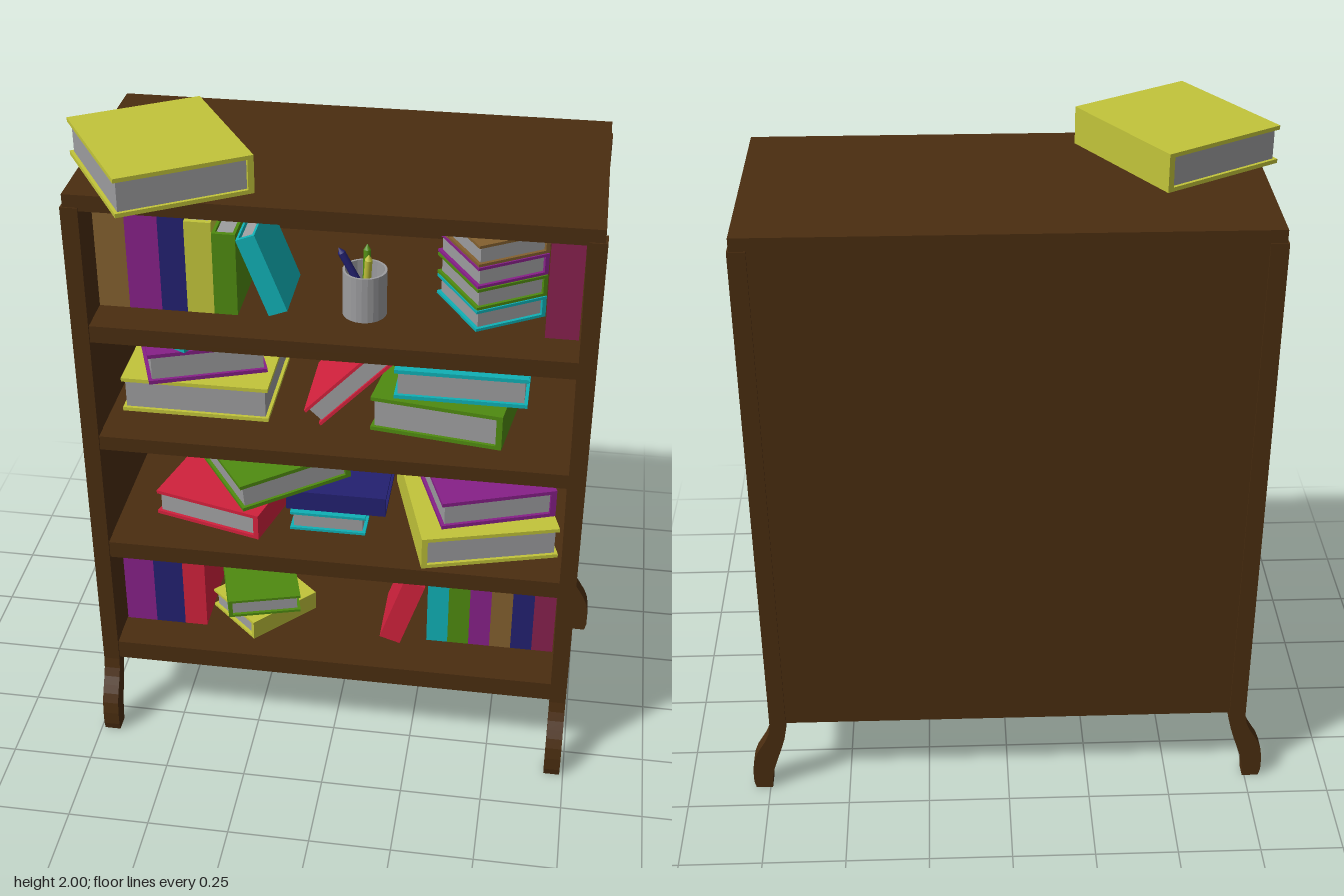
import * as THREE from 'three';

const paint = (name, color) => {
  const m = new THREE.MeshStandardMaterial({ color });
  m.name = name;
  return m;
};

export function createModel() {
  const model = new THREE.Group();
  model.name = 'bookcase';
  const wood = paint('darkWood', 0x4a2d10);
  const brown = paint('brown', 0x83602f);
  const purple = paint('purple', 0x872088);
  const navy = paint('navy', 0x232070);
  const yellow = paint('yellow', 0xc2c43a);
  const green = paint('green', 0x4f8a10);
  const cyan = paint('cyan', 0x10b0b5);
  const red = paint('red', 0xd0213c);
  const maroon = paint('maroon', 0x86204e);
  const grey = paint('paperGrey', 0x9c9c9e);

  // Box given by its lower and upper limits
  const box = (parent, name, mat, x0, x1, y0, y1, z0, z1) => {
    const mesh = new THREE.Mesh(new THREE.BoxGeometry(x1 - x0, y1 - y0, z1 - z0), mat);
    mesh.position.set((x0 + x1) / 2, (y0 + y1) / 2, (z0 + z1) / 2);
    mesh.name = name;
    parent.add(mesh);
    return mesh;
  };

  // Carcass
  box(model, 'topBoard', wood, -0.732, 0.732, 1.84, 1.888, -0.416, 0.296);
  box(model, 'backPanel', wood, -0.73, 0.73, 0.255, 1.84, -0.414, -0.39);
  for (const s of [-1, 1]) {
    const inner = s * 0.69, outer = s * 0.732;
    box(model, 'sidePanel', wood, Math.min(inner, outer), Math.max(inner, outer), 0.25, 1.84, -0.41, 0.29);
  }
  for (const [y0, y1] of [[0.255, 0.318], [0.66, 0.716], [1.06, 1.106], [1.427, 1.48]])
    box(model, 'shelf', wood, -0.69, 0.69, y0, y1, -0.39, 0.294);

  // Corner posts ending in a curved foot; the profile is (outward, height)
  const legShape = new THREE.Shape();
  legShape.moveTo(0, 1.85);
  legShape.lineTo(0, 0.25);
  legShape.bezierCurveTo(0.003, 0.17, 0.06, 0.16, 0.063, 0.07);
  legShape.lineTo(0.063, 0.025);
  legShape.lineTo(0.057, 0);
  legShape.lineTo(0.006, 0);
  legShape.bezierCurveTo(0.01, 0.08, -0.04, 0.15, -0.05, 0.235);
  legShape.lineTo(-0.05, 1.85);
  const legGeo = new THREE.ExtrudeGeometry(legShape, { depth: 0.05, bevelEnabled: false, curveSegments: 6 });
  legGeo.translate(0, 0, -0.025);
  for (const s of [-1, 1]) {
    const front = new THREE.Mesh(legGeo, wood);
    front.name = 'frontLeg';
    front.rotation.y = -Math.PI / 2;
    front.position.set(s * 0.714, 0, 0.3);
    const back = new THREE.Mesh(legGeo, wood);
    back.name = 'backLeg';
    back.rotation.y = s > 0 ? 0 : Math.PI;
    back.position.set(s * 0.737, 0, -0.395);
    model.add(front, back);
  }

  // A book lying flat: spine on +x, spine length along z, thickness along y
  const makeBook = (cover, W, L, t) => {
    const book = new THREE.Group();
    book.name = 'book';
    const c = Math.min(0.012, t * 0.13), w = W / 2, l = L / 2, h = t / 2;
    box(book, 'lowerCover', cover, -w, w, -h, -h + c, -l, l);
    box(book, 'upperCover', cover, -w, w, h - c, h, -l, l);
    box(book, 'spine', cover, w - c * 1.5, w, -h + c, h - c, -l, l);
    box(book, 'pages', grey, -w + 0.01, w - c * 1.5, -h + c, h - c, -l + 0.01, l - 0.01);
    model.add(book);
    return book;
  };

  // Lying book: turn about y, then lean about z (degrees)
  const rad = THREE.MathUtils.degToRad;
  const zAxis = new THREE.Vector3(0, 0, 1), yAxis = new THREE.Vector3(0, 1, 0);
  const lying = (cover, x, y0, y1, z, W, L, turn, lean = 0) => {
    const book = makeBook(cover, W, L, y1 - y0);
    book.position.set(x, (y0 + y1) / 2, z);
    book.quaternion.setFromAxisAngle(zAxis, rad(lean))
      .multiply(new THREE.Quaternion().setFromAxisAngle(yAxis, rad(turn)));
  };

  // Upright book with its spine to the front
  const standBasis = new THREE.Quaternion().setFromRotationMatrix(new THREE.Matrix4().makeBasis(
    zAxis, new THREE.Vector3(1, 0, 0), yAxis));
  const upright = (cover, x, y, t, height, lean = 0, front = 0.17) => {
    const depth = height * 0.89;
    const book = makeBook(cover, depth, height, t);
    book.position.set(x, y, front - depth / 2);
    book.quaternion.setFromAxisAngle(zAxis, rad(lean)).multiply(standBasis);
  };
  const row = (x, y, front, items) => {
    for (const [cover, t, height] of items) {
      upright(cover, x + t / 2, y + height / 2, t, height, 0, front);
      x += t;
    }
  };

  // Book on top
  lying(yellow, -0.497, 1.888, 2, 0.127, 0.392, 0.44, 31.5);

  // Top shelf
  row(-0.69, 1.48, 0.17, [[brown, 0.09, 0.355], [purple, 0.095, 0.355], [navy, 0.075, 0.334],
    [yellow, 0.078, 0.287], [green, 0.068, 0.255]]);
  upright(cyan, -0.212, 1.611, 0.058, 0.25, 21);
  [cyan, green, purple, brown].forEach((c, i) =>
    lying(c, 0.425, 1.48 + i * 0.068, 1.545 + i * 0.068, 0, 0.223, 0.25, 32));
  row(0.59, 1.48, 0.17, [[maroon, 0.095, 0.355]]);

  // Second shelf
  lying(yellow, -0.432, 1.106, 1.22, -0.05, 0.39, 0.445, 90);
  lying(purple, -0.445, 1.225, 1.325, -0.03, 0.31, 0.355, 110);
  lying(cyan, -0.493, 1.338, 1.405, 0, 0.232, 0.26, -27);
  lying(red, 0.032, 1.212, 1.282, 0, 0.28, 0.32, 90, 47);
  lying(green, 0.323, 1.106, 1.22, -0.05, 0.396, 0.44, -8);
  lying(cyan, 0.36, 1.225, 1.322, -0.03, 0.35, 0.39, 90);

  // Third shelf
  lying(red, -0.356, 0.716, 0.803, -0.02, 0.35, 0.39, -15);
  lying(green, -0.236, 0.845, 0.935, -0.02, 0.36, 0.4, 33, 5);
  lying(cyan, -0.033, 0.716, 0.781, 0.03, 0.23, 0.235, 90);
  lying(navy, -0.01, 0.783, 0.849, 0, 0.26, 0.31, -90);
  lying(yellow, 0.411, 0.716, 0.823, 0, 0.42, 0.47, 196);
  lying(purple, 0.427, 0.827, 0.92, -0.02, 0.354, 0.4, 19.5);

  // Bottom shelf
  row(-0.688, 0.318, 0.17, [[purple, 0.097, 0.335], [navy, 0.094, 0.32], [red, 0.072, 0.297]]);
  lying(yellow, -0.257, 0.318, 0.384, 0.05, 0.22, 0.25, -43);
  lying(green, -0.268, 0.385, 0.448, 0.05, 0.23, 0.25, 196);
  upright(red, 0.207, 0.446, 0.068, 0.245, -18);
  row(0.284, 0.318, 0.14, [cyan, green, purple, brown, navy, maroon].map((c) => [c, 0.067, 0.255]));

  // Pen cup and pens
  const cup = new THREE.Mesh(new THREE.LatheGeometry(
    [[0, 0], [0.064, 0], [0.064, 0.14], [0.057, 0.14], [0.057, 0.01], [0, 0.01]]
      .map(([r, y]) => new THREE.Vector2(r, y)), 24), grey);
  cup.name = 'penCup';
  cup.geometry = cup.geometry.toNonIndexed();
  cup.geometry.computeVertexNormals();
  cup.position.set(0.072, 1.48, 0.1);
  model.add(cup);
  for (const [mat, x, y, z, leanX, leanZ] of [[navy, 0.045, 1.592, 0.1, 0, 28],
    [green, 0.075, 1.585, 0.09, -10, 0], [yellow, 0.08, 1.58, 0.115, 8, -4]]) {
    const pen = new THREE.Group();
    pen.name = 'pen';
    const body = new THREE.Mesh(new THREE.CylinderGeometry(0.011, 0.011, 0.17, 10), mat);
    body.name = 'penBody';
    const tip = new THREE.Mesh(new THREE.ConeGeometry(0.011, 0.018, 10), mat);
    tip.name = 'penTip';
    tip.position.y = 0.094;
    pen.add(body, tip);
    pen.position.set(x, y, z);
    pen.rotation.set(rad(leanX), 0, rad(leanZ));
    model.add(pen);
  }
  return model;
}
